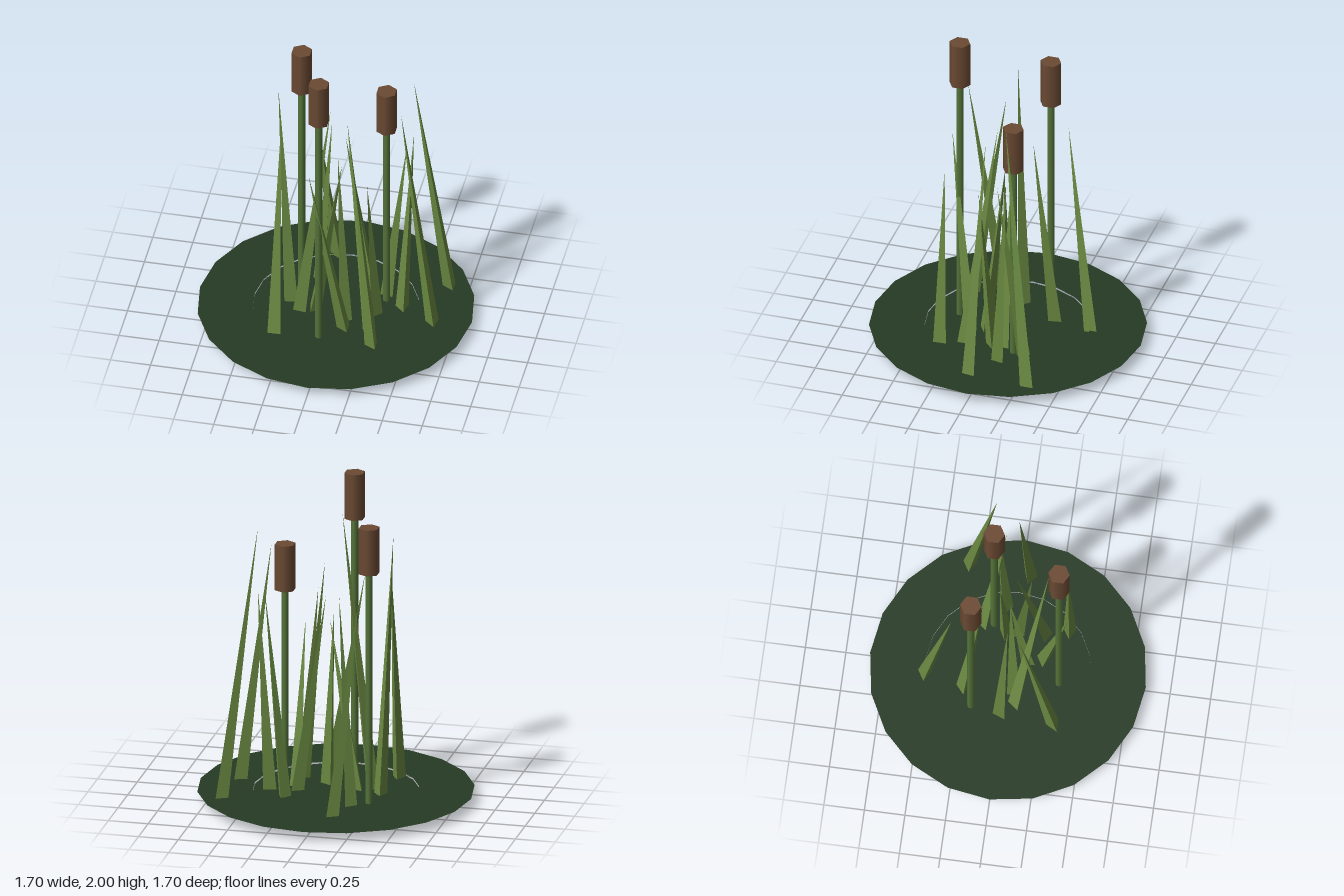
import * as THREE from 'three';

const material = (color, extra = {}) => new THREE.MeshStandardMaterial({ color, ...extra });

const leafGreen = material(0x6b8a42, { flatShading: true });
const stemGreen = material(0x56753a);
const brown = material(0x6b4a33);
const padGreen = material(0x263a24, { side: THREE.DoubleSide });

function add(parent, name, geometry, mat, x = 0, y = 0, z = 0) {
  const mesh = new THREE.Mesh(geometry, mat);
  mesh.name = name;
  mesh.position.set(x, y, z);
  parent.add(mesh);
  return mesh;
}

// Leaning three-sided blade; yaw turns one base corner towards a direction
function addBlade(parent, [bx, bz, tx, ty, tz, yaw = Math.atan2(tx - bx, tz - bz)]) {
  const base = new THREE.Vector3(bx, 0.015, bz);
  const axis = new THREE.Vector3(tx, ty, tz).sub(base);
  const length = axis.length();
  const geometry = new THREE.ConeGeometry(0.048, length, 3).translate(0, length / 2, 0).rotateY(yaw);
  const blade = add(parent, 'reedBlade', geometry, leafGreen, bx, 0.015, bz);
  blade.quaternion.setFromUnitVectors(new THREE.Vector3(0, 1, 0), axis.normalize());
}

// Straight stem with a six-sided seed head
function addCattail(parent, [x, z, top]) {
  const cattail = new THREE.Group();
  cattail.name = 'cattail';
  cattail.position.set(x, 0, z);
  const headHeight = 0.295;
  const stemHeight = top - headHeight;
  add(cattail, 'stem', new THREE.CylinderGeometry(0.023, 0.023, stemHeight, 6), stemGreen, 0, stemHeight / 2, 0);
  add(cattail, 'seedHead', new THREE.CylinderGeometry(0.066, 0.066, headHeight, 6), brown, 0, top - headHeight / 2, 0);
  parent.add(cattail);
}

export function createModel() {
  const model = new THREE.Group();
  model.name = 'reedClump';

  // Flat ground: outer ring and a slightly lower inner disc
  add(model, 'outerRing', new THREE.RingGeometry(0.51, 0.85, 20).rotateX(-Math.PI / 2), padGreen, 0, 0.06, 0);
  add(model, 'innerDisc', new THREE.CircleGeometry(0.51, 20).rotateX(-Math.PI / 2), padGreen, 0, 0.05, 0);

  // Cattails: x, z, top height
  [
    [-0.04, 0.32, 2.0],
    [-0.255, -0.195, 1.83],
    [0.29, -0.125, 1.66],
  ].forEach((c) => addCattail(model, c));

  // Blades: base x, base z, tip x, tip y, tip z, optional yaw
  const west = -Math.PI / 2;
  [
    [-0.09, -0.51, -0.22, 1.4, -0.32, west],
    [-0.15, -0.26, -0.055, 1.35, -0.145],
    [0.65, -0.33, 0.46, 1.75, -0.13, west],
    [0.62, 0.055, 0.41, 1.6, 0.015],
    [-0.21, 0.07, 0.02, 1.76, 0.25],
    [-0.315, 0.33, -0.32, 1.47, 0.11],
    [-0.28, -0.01, -0.35, 1.7, 0.045],
    [0.3, 0.34, 0.195, 1.23, 0.345],
    [0.1, 0.2, -0.09, 1.33, 0.385, west],
    [0.26, 0.2, 0.08, 1.5, 0.04, west],
    [0.08, 0.12, 0.015, 1.2, 0.01],
    [-0.13, 0.05, 0.04, 1.15, 0.01],
    [0.24, -0.045, 0.05, 1.32, -0.055],
    [0.25, 0.02, 0.22, 1.1, 0.12],
    [0.28, -0.19, 0.43, 1.3, -0.065],
    [0.4, -0.065, 0.46, 1.35, -0.13],
  ].forEach((b) => addBlade(model, b));

  return model;
}
